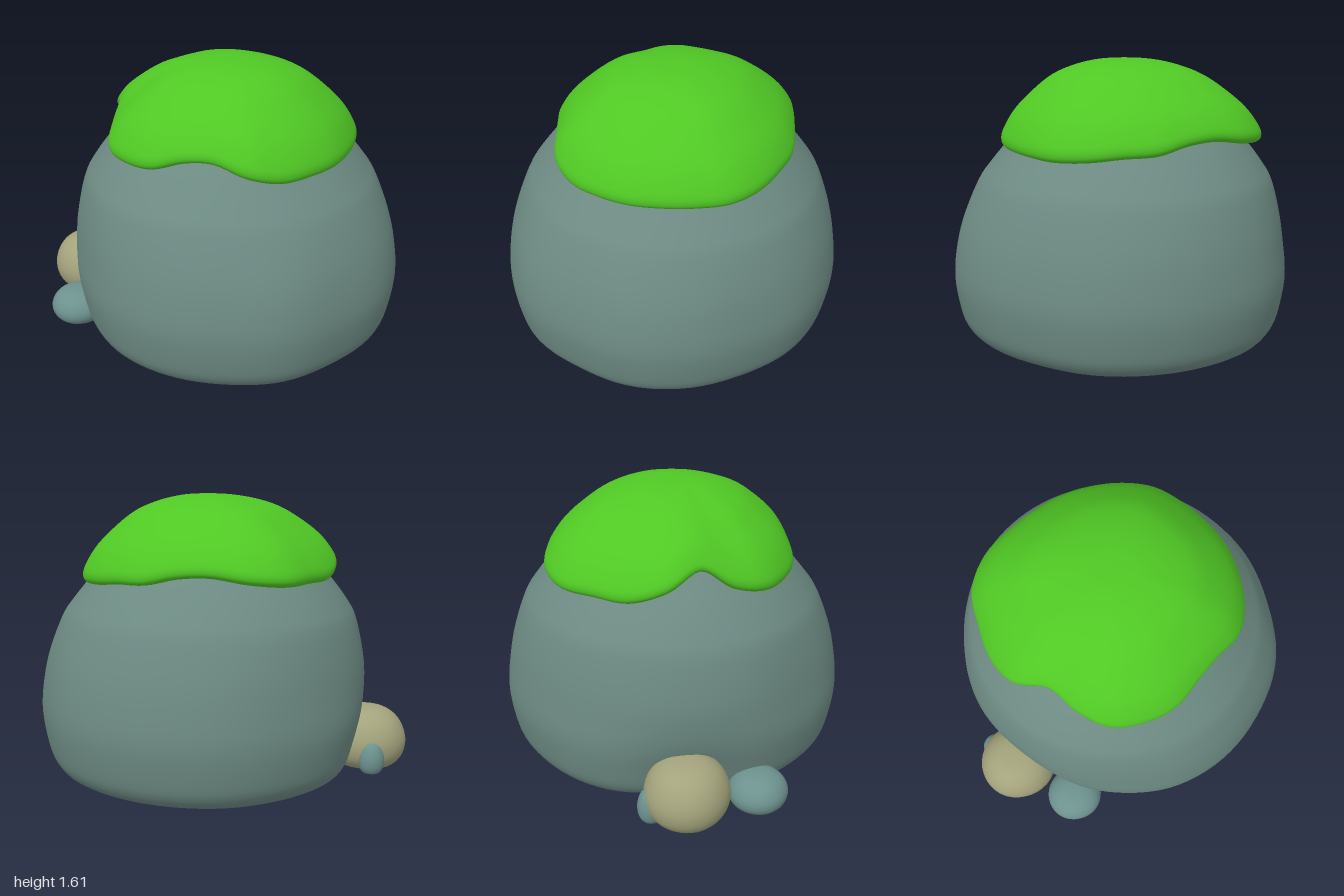
import * as THREE from 'three';

// Periodic cubic interpolation of evenly spaced values around a full turn
function around(table, angle) {
  const n = table.length;
  const f = (angle / (Math.PI * 2)) * n;
  const i = Math.floor(f), t = f - i;
  const v = (k) => table[(((i + k) % n) + n) % n];
  const a = v(-1), b = v(0), c = v(1), d = v(2);
  return b + 0.5 * t * (c - a + t * (2 * a - 5 * b + 4 * c - d + t * (3 * (b - c) + d - a)));
}

// Smooth surface from rings stacked bottom to top; place(r, h, angle) returns [x, y, z]
function loft(name, profile, steps, segments, material, place) {
  const rows = new THREE.SplineCurve(profile.map(([r, h]) => new THREE.Vector2(r, h))).getPoints(steps);
  const positions = [], index = [];
  rows.forEach((p, j) => {
    for (let i = 0; i < segments; i++) {
      positions.push(...place(Math.max(p.x, 0), p.y, (i / segments) * Math.PI * 2));
      if (j === rows.length - 1) continue;
      const a = j * segments + i, b = j * segments + ((i + 1) % segments);
      index.push(a, a + segments, b, b, a + segments, b + segments);
    }
  });
  const geometry = new THREE.BufferGeometry();
  geometry.setAttribute('position', new THREE.Float32BufferAttribute(positions, 3));
  geometry.setIndex(index);
  geometry.computeVertexNormals();
  const mesh = new THREE.Mesh(geometry, material);
  mesh.name = name;
  return mesh;
}

function flat(name, color) {
  const material = new THREE.MeshStandardMaterial({ color });
  material.name = name;
  return material;
}

export function createModel() {
  const group = new THREE.Group();
  group.name = 'mossyBoulder';
  const stone = flat('grey green stone', 0x6d8a83);
  const moss = flat('bright moss green', 0x50c824);
  const sand = flat('sandy stone', 0xa3a37c);
  const teal = flat('teal stone', 0x6d928e);

  // Boulder: uneven outline low down, rounder and shifted slightly at the top
  const outline = [1.0, 1.02, 1.0, 0.99, 0.975, 0.95, 0.955, 0.955, 0.965,
    0.97, 0.98, 1.0, 1.0, 1.0, 1.0, 0.985, 1.0, 1.01];
  const boulderProfile = [[0, 0.017], [0.45, 0.017], [0.8, 0.017], [0.89, 0.035], [0.95, 0.1], [0.98, 0.2],
    [1.0, 0.36], [0.985, 0.52], [0.945, 0.7], [0.87, 0.9], [0.805, 1.0], [0.7, 1.13],
    [0.635, 1.2], [0.535, 1.3], [0.36, 1.42], [0, 1.49]];
  group.add(loft('boulder', boulderProfile, 75, 96, stone, (r, y, a) => {
    const top = THREE.MathUtils.smoothstep(y, 0.5, 1.13);
    // Hollow at the foot where the pebbles lie
    const away = (a - 2.45) / 0.42;
    const dent = 0.1 * Math.exp(-away * away) * (1 - THREE.MathUtils.smoothstep(y, 0.1, 0.65));
    const s = r * THREE.MathUtils.lerp(around(outline, a), 1, top) * (1 - dent);
    return [s * Math.cos(a) - 0.025 * top, y, s * Math.sin(a)];
  }));

  // Moss cap: wavy rim height and reach, with a rolled lip tucked into the boulder
  const reach = [0.71, 0.715, 0.705, 0.655, 0.655, 0.7, 0.72, 0.73, 0.69, 0.66, 0.75, 0.775,
    0.78, 0.81, 0.785, 0.725, 0.7, 0.71, 0.71, 0.725, 0.735, 0.715, 0.705, 0.71];
  const rim = [1.11, 1.11, 1.15, 1.21, 1.2, 1.145, 1.13, 1.135, 1.18, 1.29, 1.21, 1.15,
    1.15, 1.15, 1.17, 1.2, 1.19, 1.15, 1.14, 1.12, 1.11, 1.11, 1.11, 1.11];
  const mossProfile = [[0.82, 0.06], [0.93, 0.005], [0.975, 0.01], [1, 0.07], [0.985, 0.18], [0.9, 0.39],
    [0.77, 0.59], [0.59, 0.8], [0.4, 0.92], [0.2, 0.985], [0, 1]];
  group.add(loft('mossCap', mossProfile, 60, 120, moss, (r, h, a) => {
    const s = r * around(reach, a);
    const low = around(rim, a);
    return [s * Math.cos(a), low + h * (1.605 - low), s * Math.sin(a)];
  }));

  // Pebbles: rounded domes with flattened undersides
  const pebbleProfile = [[0, 0], [0.45, 0.005], [0.72, 0.04], [0.93, 0.2], [1, 0.42],
    [0.93, 0.64], [0.74, 0.84], [0.42, 0.97], [0, 1]];
  const pebbles = [
    ['sandyPebble', sand, -0.765, 0.01, 0.57, 0.235, 0.352, 0.232],
    ['tealPebble', teal, -0.455, 0, 0.835, 0.168, 0.197, 0.165],
    ['hiddenPebble', teal, -0.9, 0.015, 0.43, 0.075, 0.19, 0.075],
  ];
  for (const [name, material, x, y, z, rx, height, rz] of pebbles) {
    group.add(loft(name, pebbleProfile, 28, 36, material, (r, h, a) => {
      const s = r * (1 + 0.015 * Math.sin(3 * a) * Math.sin(a) ** 2);
      return [x + rx * s * Math.cos(a), y + h * height, z + rz * s * Math.sin(a)];
    }));
  }
  return group;
}
